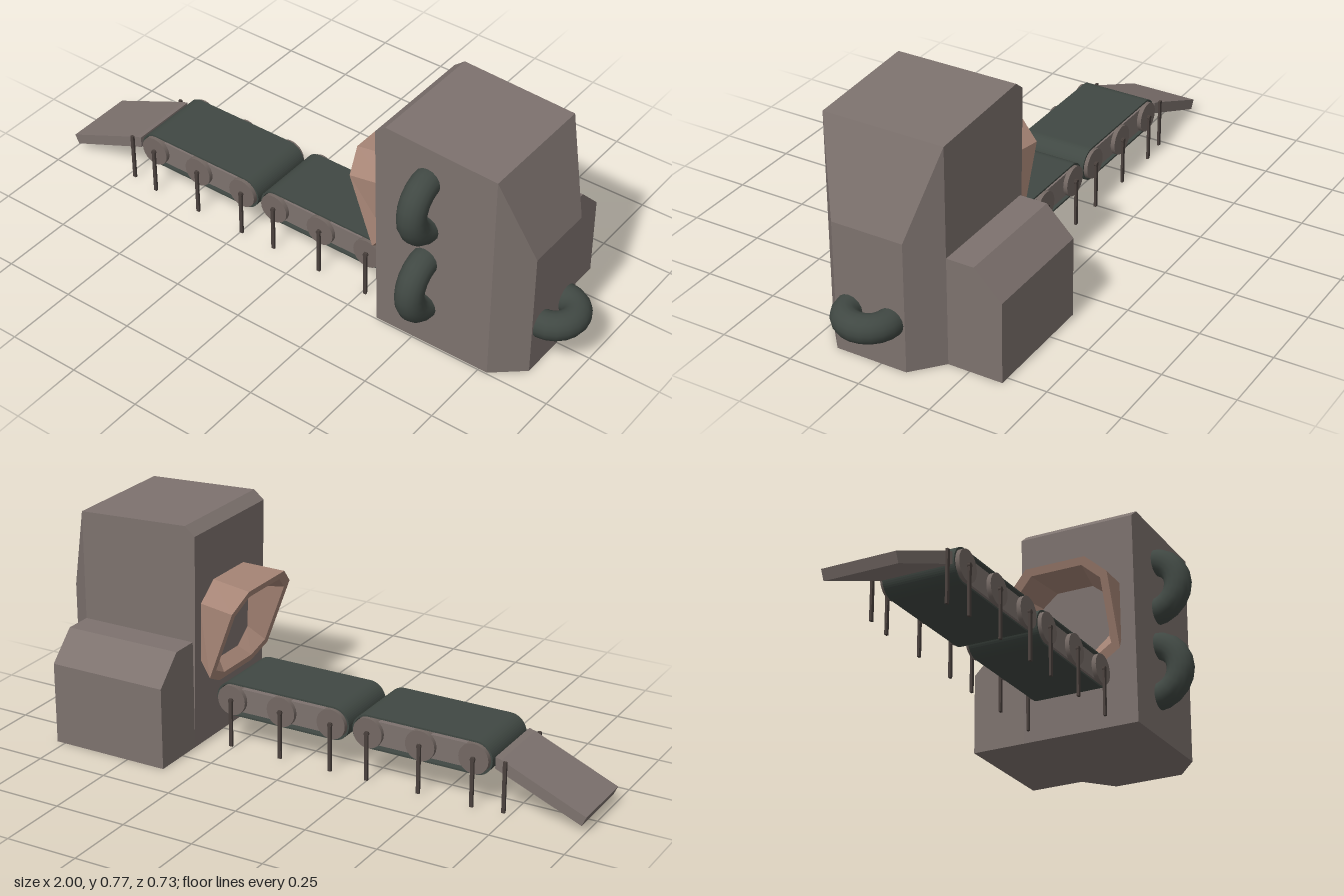
import * as THREE from 'three';
import { ConvexGeometry } from 'three/addons/geometries/ConvexGeometry.js';

export function createModel() {
  const root = new THREE.Group();
  const mat = (color, opts = {}) => new THREE.MeshStandardMaterial({ color, ...opts });
  const casing = mat(0x7d726e, { flatShading: true });
  const disc = mat(0x736863);
  const rubber = mat(0x404843);
  const dark = mat(0x4a413d);
  const copper = mat(0xa58475, { flatShading: true, side: THREE.DoubleSide });
  const midZ = 0.033;

  function add(parent, name, geometry, material, x = 0, y = 0, z = 0) {
    const mesh = new THREE.Mesh(geometry, material);
    mesh.name = name;
    mesh.position.set(x, y, z);
    parent.add(mesh);
    return mesh;
  }
  const hull = pts => new ConvexGeometry(pts.map(p => new THREE.Vector3(...p)));

  // Extrudes a side profile (x, y) between two depths
  function slab(shape, z0, z1) {
    const g = new THREE.ExtrudeGeometry(shape, { depth: z1 - z0, bevelEnabled: false, curveSegments: 14 });
    return g.translate(0, 0, z0);
  }

  // Main housing with a tapered nose on its outer end
  const housing = [];
  for (const z of [-0.175, 0.245]) {
    for (const [x, y] of [[0.36, 0], [0.343, 0.74], [0.38, 0.77], [0.78, 0.75], [0.78, 0]]) housing.push([x, y, z]);
  }
  for (const z of [-0.09, 0.16]) housing.push([0.88, 0, z], [0.88, 0.45, z]);
  add(root, 'housing', hull(housing), casing);

  // Lower cabinet behind the housing, with a sloped rear edge
  const cabinet = [];
  for (const x of [0.36, 0.78]) {
    for (const [z, y] of [[-0.17, 0], [-0.17, 0.375], [-0.27, 0.375], [-0.365, 0.28], [-0.365, 0]]) cabinet.push([x, y, z]);
  }
  add(root, 'rearCabinet', hull(cabinet), casing);

  // Bent pipes: two upright on the front, one flat on the end
  for (const y of [0.24, 0.55]) {
    const pipe = add(root, 'frontPipe', new THREE.TorusGeometry(0.0925, 0.047, 16, 20), rubber, 0.535, y, 0.23);
    pipe.rotation.y = Math.PI / 2;
  }
  const endPipe = add(root, 'endPipe', new THREE.TorusGeometry(0.073, 0.047, 16, 20), rubber, 0.88, 0.163, 0.035);
  endPipe.rotation.x = Math.PI / 2;

  // Intake hood: eight-sided rings joined from the wall, round the lip and back inside
  const mouth = [[0.11, 0.55], [0.18, 0.49], [0.18, 0.25], [0.10, 0.21], [-0.10, 0.21], [-0.18, 0.25], [-0.18, 0.49], [-0.11, 0.55]];
  const wall = [[0.09, 0.56], [0.165, 0.50], [0.165, 0.30], [0.08, 0.23], [-0.08, 0.23], [-0.165, 0.30], [-0.165, 0.50], [-0.09, 0.56]];
  const mouthX = y => 0.2 + (0.55 - y) * 0.37;
  const shrink = (pts, s) => pts.map(([z, y]) => [z * s, 0.385 + (y - 0.385) * s]);
  const rings = [
    wall.map(([z, y]) => [0.355, y, z + 0.027]),
    mouth.map(([z, y]) => [mouthX(y), y, z + 0.027]),
    shrink(mouth, 0.85).map(([z, y]) => [mouthX(y), y, z + 0.027]),
    shrink(wall, 0.72).map(([z, y]) => [0.357, y, z + 0.027]),
  ];
  const index = [];
  for (let r = 0; r < rings.length - 1; r++) {
    for (let i = 0; i < 8; i++) {
      const a = r * 8 + i, b = r * 8 + (i + 1) % 8;
      index.push(a, b, a + 8, b, b + 8, a + 8);
    }
  }
  const hood = new THREE.BufferGeometry();
  hood.setAttribute('position', new THREE.Float32BufferAttribute(rings.flat(2), 3));
  hood.setIndex(index);
  const hoodFlat = hood.toNonIndexed();
  hoodFlat.computeVertexNormals();
  add(root, 'intakeHood', hoodFlat, copper);

  // Rounded-end outline for belts and frames
  function stadium(path, half, r) {
    path.absarc(half, 0, r, -Math.PI / 2, Math.PI / 2, false);
    path.absarc(-half, 0, r, Math.PI / 2, Math.PI * 1.5, false);
    path.closePath();
    return path;
  }

  // Conveyor: belt loop, inner frame, rollers with axles, and legs
  function conveyor(cx) {
    const g = new THREE.Group();
    g.name = 'conveyor';
    g.position.set(cx, 0.163, midZ);
    const loop = stadium(new THREE.Shape(), 0.19, 0.058);
    loop.holes.push(stadium(new THREE.Path(), 0.19, 0.052));
    add(g, 'belt', slab(loop, -0.123, 0.123), rubber);
    add(g, 'frame', new THREE.BoxGeometry(0.38, 0.082, 0.24), casing);
    for (const x of [-0.187, 0, 0.187]) {
      const roller = add(g, 'roller', new THREE.CylinderGeometry(0.052, 0.052, 0.27, 24), disc, x);
      roller.rotation.x = Math.PI / 2;
      const axle = add(g, 'axle', new THREE.CylinderGeometry(0.008, 0.008, 0.29, 10), dark, x);
      axle.rotation.x = Math.PI / 2;
      for (const s of [-1, 1]) {
        add(g, 'leg', new THREE.BoxGeometry(0.012, 0.17, 0.008), dark, x, -0.078, s * 0.14);
      }
    }
    root.add(g);
  }
  conveyor(-0.433);
  conveyor(0.075);

  // Sloped ramp leading down to the ground, with its pair of legs
  const ramp = new THREE.Shape([[-1, 0.052], [-0.985, 0.02], [-0.69, 0.142], [-0.69, 0.182], [-0.71, 0.176]]
    .reverse().map(p => new THREE.Vector2(...p)));
  add(root, 'ramp', slab(ramp, midZ - 0.123, midZ + 0.123), casing);
  for (const s of [-1, 1]) {
    add(root, 'rampLeg', new THREE.BoxGeometry(0.012, 0.175, 0.008), dark, -0.725, 0.0875, midZ + s * 0.127);
  }
  return root;
}
